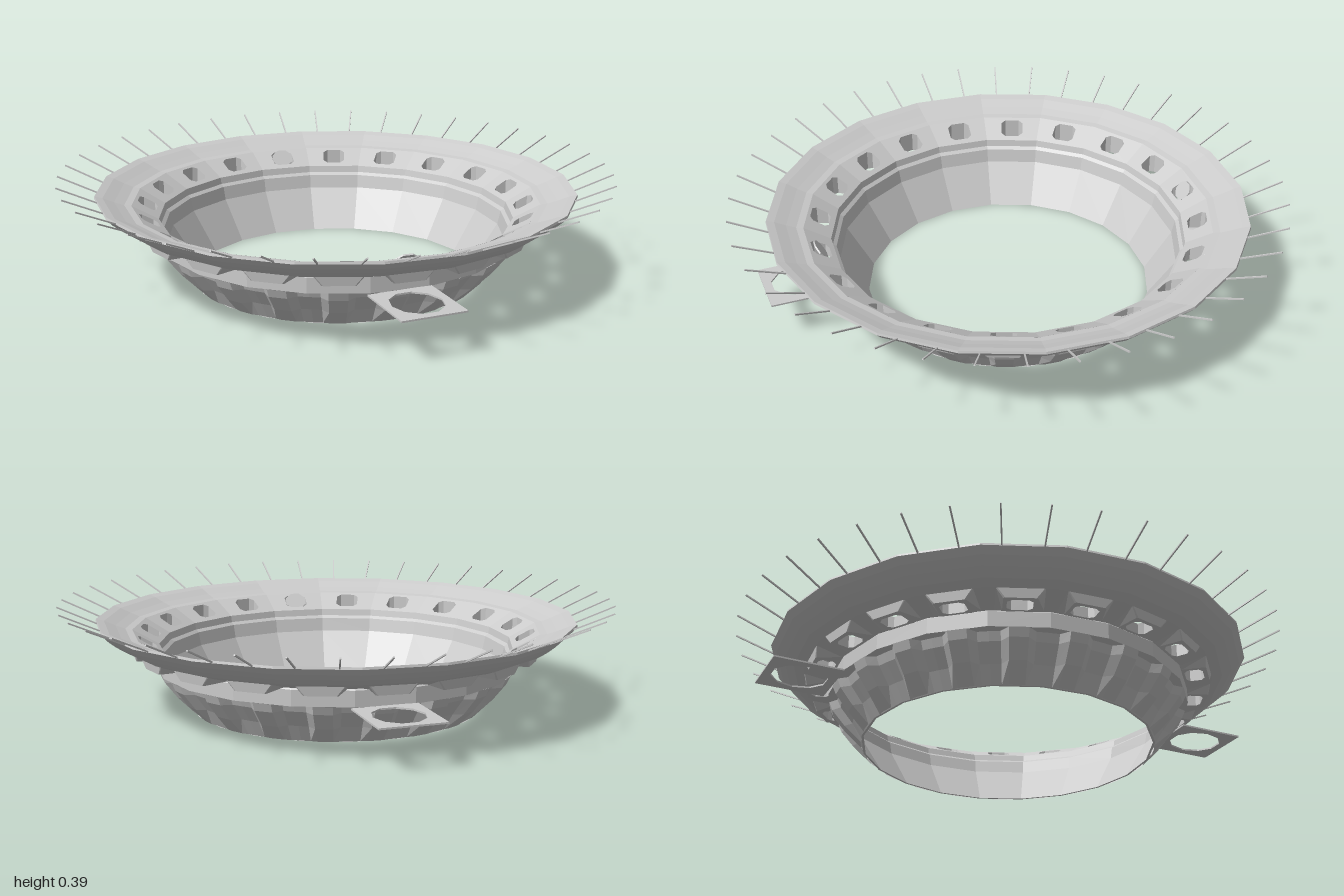
import * as THREE from 'three';

const SIDES = 20, STEP = Math.PI * 2 / SIDES;
const OFFSET = STEP / 4;             // centre angle of the first segment
const COS = Math.cos(STEP / 2), TAN = Math.tan(STEP / 2);
const mat = new THREE.MeshStandardMaterial({ color: 0xcccccc, flatShading: true, side: THREE.DoubleSide });

function add(parent, name, geometry) {
  const mesh = new THREE.Mesh(geometry, mat);
  mesh.name = name;
  parent.add(mesh);
  return mesh;
}

// Faceted ring turned from a [radius, height] profile
function ring(points) {
  return new THREE.LatheGeometry(points.map(p => new THREE.Vector2(p[0], p[1])), SIDES, OFFSET);
}

// Surface through closed loops with equal numbers of points
function loft(loops) {
  const n = loops[0].length, index = [];
  for (let i = 0; i < loops.length - 1; i++) {
    for (let j = 0; j < n; j++) {
      const a = i * n + j, b = i * n + (j + 1) % n;
      index.push(a, b, a + n, b, b + n, a + n);
    }
  }
  const g = new THREE.BufferGeometry();
  g.setAttribute('position', new THREE.Float32BufferAttribute(loops.flat(2), 3));
  g.setIndex(index);
  g.computeVertexNormals();
  return g;
}

// Eight-point loop in a segment: x outward, z sideways, k = corner position along each edge
function panelLoop(d0, d1, halfWidth, height, k) {
  const corners = [[-1, -k], [-k, -1], [k, -1], [1, -k], [1, k], [k, 1], [-k, 1], [-1, k]];
  return corners.map(([u, v]) => {
    const d = (d0 + d1) / 2 + u * (d1 - d0) / 2;
    return [d, height(d), v * halfWidth(d)];
  });
}

// One window segment: sloped inner face, opening, hood underneath, outer skin
function windowGeometry() {
  const full = d => d * TAN;
  const inner = d => 0.235 + (d / COS - 0.645) * 0.56;
  const outer = d => 0.21 + (d / COS - 0.65) * 0.3;
  const floor = () => 0.207;
  return loft([
    panelLoop(0.645 * COS, 0.74 * COS, full, inner, 0.999),
    panelLoop(0.655, 0.72, () => 0.043, inner, 0.62),
    panelLoop(0.655, 0.72, () => 0.043, floor, 0.62),
    panelLoop(0.645, 0.735, () => 0.056, floor, 0.9),
    panelLoop(0.645, 0.74, () => 0.08, outer, 0.95),
    panelLoop(0.65 * COS, 0.75 * COS, full, outer, 0.999),
  ]);
}

// Scalloped outer skirt: a raised rib and a recess in every segment
function skirtGeometry() {
  const rows = [[0, 0.53, 0.525], [0.06, 0.59, 0.562], [0.12, 0.637, 0.607], [0.15, 0.65, 0.62]];
  return loft(rows.map(([y, rib, recess]) => {
    const loop = [];
    for (let i = 0; i < SIDES; i++) {
      [[-0.5, recess], [-0.3, recess], [-0.16, rib], [0.16, rib], [0.3, recess]].forEach(([t, r]) => {
        const a = OFFSET + (i + t) * STEP;
        loop.push([r * Math.cos(a), y, r * Math.sin(a)]);
      });
    }
    return loop;
  }));
}

// Flat square tab with an eight-sided hole
function tabGeometry() {
  const shape = new THREE.Shape([[-0.115, -0.125], [0.115, -0.125], [0.115, 0.125], [-0.115, 0.125]]
    .map(p => new THREE.Vector2(...p)));
  const hole = new THREE.Path();
  for (let i = 0; i < 10; i++) {
    const a = i * Math.PI / 5, x = 0.088 * Math.cos(a), y = 0.1 * Math.sin(a);
    if (i) hole.lineTo(x, y); else hole.moveTo(x, y);
  }
  hole.closePath();
  shape.holes.push(hole);
  return new THREE.ExtrudeGeometry(shape, { depth: 0.006, bevelEnabled: false })
    .rotateX(Math.PI / 2).translate(-0.055, 0.152, 0.775);
}

export function createModel() {
  const model = new THREE.Group();
  model.name = 'flaredRing';

  // Flared upper rim
  add(model, 'rim', ring([[0.75, 0.24], [0.785, 0.254], [0.82, 0.276], [0.85, 0.3], [0.87, 0.322],
    [0.868, 0.33], [0.84, 0.322], [0.80, 0.305], [0.765, 0.292], [0.74, 0.288]]));

  // Upright band, step and inner cone
  add(model, 'band', ring([[0.65, 0.21], [0.655, 0.205], [0.655, 0.15], [0.617, 0.15]]));
  add(model, 'innerCone', ring([[0.645, 0.235], [0.64, 0.21], [0.628, 0.2], [0.617, 0.15], [0.522, 0], [0.53, 0]]));
  add(model, 'skirt', skirtGeometry());

  // Ring of windows
  const windows = new THREE.Group();
  windows.name = 'windows';
  const panel = windowGeometry();
  for (let i = 0; i < SIDES; i++) {
    add(windows, 'window', panel).rotation.y = -(OFFSET + i * STEP);
  }
  model.add(windows);

  // Thin spikes around the rim
  const spikes = new THREE.Group();
  spikes.name = 'spikes';
  const spike = new THREE.BoxGeometry(0.153, 0.005, 0.005)
    .rotateZ(Math.atan2(0.063, 0.139)).translate(0.93, 0.356, 0);
  for (let i = 0; i < SIDES * 2; i++) {
    add(spikes, 'spike', spike).rotation.y = i * STEP / 2;
  }
  model.add(spikes);

  // Tabs and window plugs, front and back
  const tab = tabGeometry();
  const plug = new THREE.CylinderGeometry(0.044, 0.044, 0.006, 8, 1, false, Math.PI / 8)
    .scale(0.85, 1, 1).rotateZ(0.95).translate(0.69, 0.262, 0);
  for (let i = 0; i < 2; i++) {
    add(model, 'tab', tab).rotation.y = i * Math.PI;
    add(model, 'windowPlug', plug).rotation.y = -(OFFSET + Math.PI / 2) + i * Math.PI;
  }
  return model;
}
